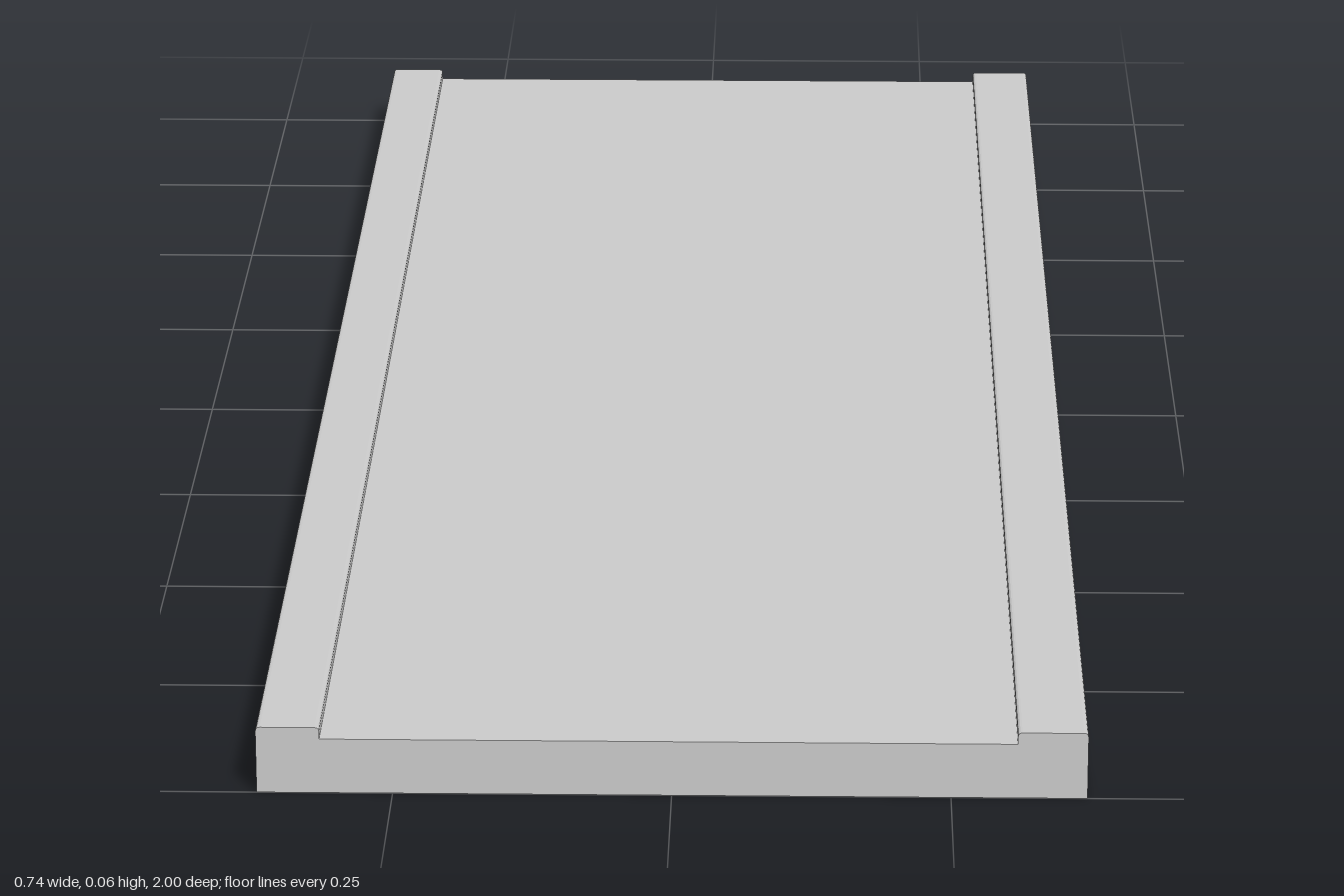
import * as THREE from 'three';

const HALF_WIDTH = 0.372, LENGTH = 2;
const DECK_TOP = 0.052, KERB_TOP = 0.063, ROUND = 0.004;
const LEFT_KERB_INNER = 0.309, RIGHT_KERB_INNER = -0.315;

// Adds a raised kerb with softly rounded top corners, running from x0 down to x1
function addKerb(shape, x0, x1) {
  shape.lineTo(x0, KERB_TOP - ROUND);
  shape.quadraticCurveTo(x0, KERB_TOP, x0 - ROUND, KERB_TOP);
  shape.lineTo(x1 + ROUND, KERB_TOP);
  shape.quadraticCurveTo(x1, KERB_TOP, x1, KERB_TOP - ROUND);
}

export function createModel() {
  const group = new THREE.Group();
  group.name = 'kerbedSlab';

  // Cross-section: flat base, a kerb on each side and the lower deck between
  const profile = new THREE.Shape();
  profile.moveTo(-HALF_WIDTH, 0);
  profile.lineTo(HALF_WIDTH, 0);
  addKerb(profile, HALF_WIDTH, LEFT_KERB_INNER);
  profile.lineTo(LEFT_KERB_INNER, DECK_TOP);
  profile.lineTo(RIGHT_KERB_INNER, DECK_TOP);
  addKerb(profile, RIGHT_KERB_INNER, -HALF_WIDTH);
  profile.closePath();

  // Slab: the cross-section swept along z
  const geometry = new THREE.ExtrudeGeometry(profile, {
    depth: LENGTH, bevelEnabled: false, curveSegments: 4,
  });
  geometry.translate(0, 0, -LENGTH / 2);

  const slab = new THREE.Mesh(geometry, new THREE.MeshStandardMaterial({ color: 0xcccccc }));
  slab.name = 'deckWithKerbs';
  group.add(slab);
  return group;
}
